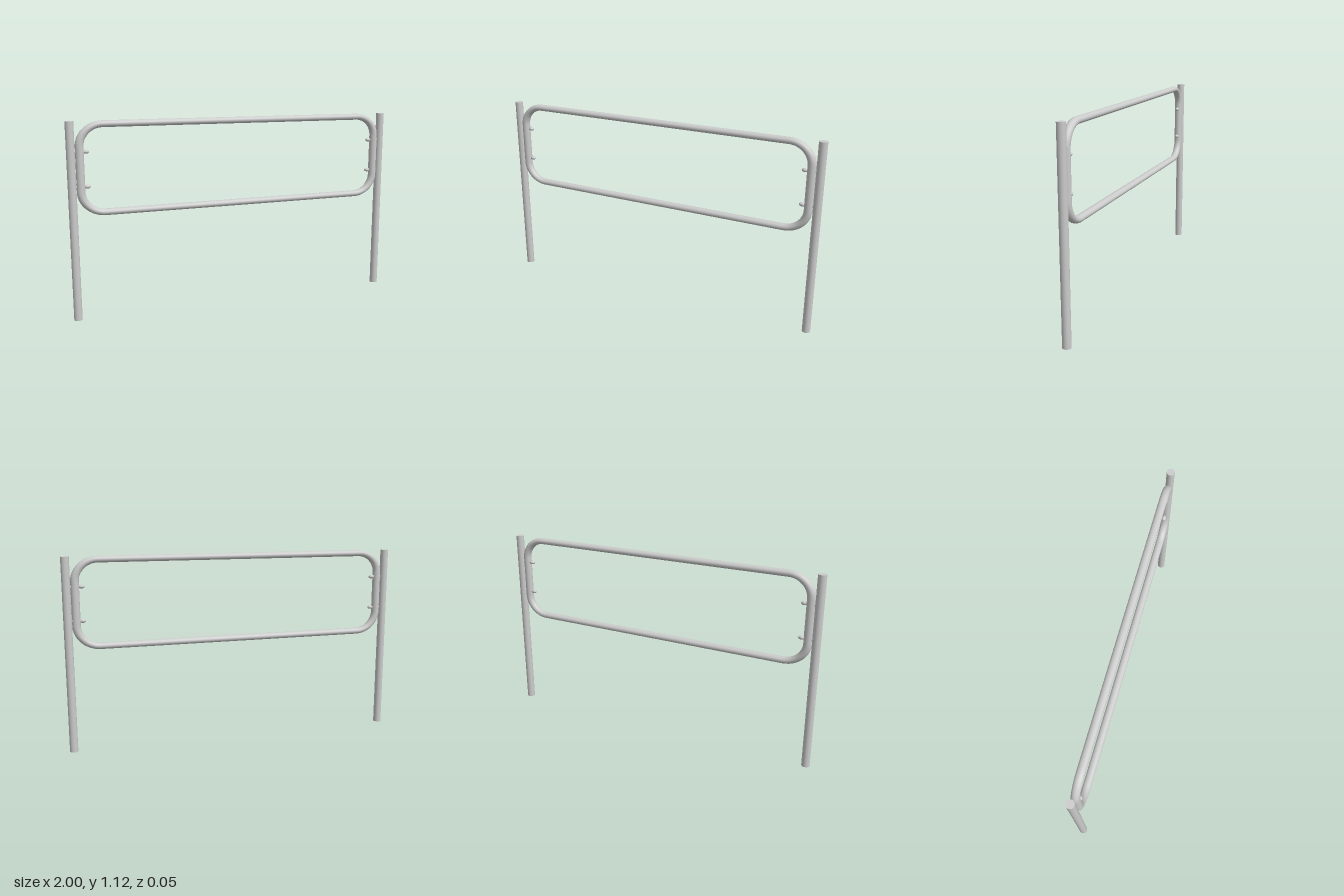
import * as THREE from 'three';

const material = new THREE.MeshStandardMaterial({ color: 0xcccccc });
const TOP = 1.12;
const SQUASH = 0.8; // the loop's tube is flattened in height

// Closed rounded rectangle as a 3D curve in the xy plane
class RoundedLoop extends THREE.Curve {
  constructor(hx, hy, rx, ry) {
    super();
    this.arcLengthDivisions = 800;
    const s = new THREE.Shape();
    const q = Math.PI / 2;
    const ix = hx - rx, iy = hy - ry;
    s.moveTo(-ix, -hy);
    [[1, -1], [1, 1], [-1, 1], [-1, -1]].forEach(([sx, sy], i) => {
      const a = (i - 1) * q;
      s.lineTo(sx * ix + rx * Math.round(Math.cos(a)), sy * iy + ry * Math.round(Math.sin(a)));
      s.absellipse(sx * ix, sy * iy, rx, ry, a, a + q, false, 0);
    });
    this.outline = s;
  }
  getPoint(t, target = new THREE.Vector3()) {
    const p = this.outline.getPoint(t);
    return target.set(p.x, p.y, 0);
  }
}

function add(parent, name, geometry, x, y, z) {
  const mesh = new THREE.Mesh(geometry, material);
  mesh.name = name;
  mesh.position.set(x, y, z);
  parent.add(mesh);
  return mesh;
}

export function createModel() {
  const model = new THREE.Group();
  model.name = 'barrierRail';

  // Bent tube loop between the posts
  const loop = new RoundedLoop(0.929, 0.306, 0.13, 0.15);
  const rail = add(model, 'railLoop', new THREE.TubeGeometry(loop, 280, 0.0235, 20, true), 0, 0.857, 0.002);
  rail.scale.y = SQUASH;

  const postGeometry = new THREE.CylinderGeometry(0.0235, 0.0235, TOP, 24);
  const boltGeometry = new THREE.CylinderGeometry(0.009, 0.009, 0.09, 12).rotateZ(Math.PI / 2);
  const headGeometry = new THREE.SphereGeometry(1, 16, 10).scale(0.018, 0.011, 0.013);

  for (const [side, sx] of [['left', 1], ['right', -1]]) {
    // Upright post
    add(model, side + 'Post', postGeometry, sx * 0.9765, TOP / 2, -0.001);

    // Bolts through the loop into the post, with rounded heads inside
    for (const [level, y] of [['Upper', 0.953], ['Lower', 0.76]]) {
      add(model, side + level + 'Bolt', boltGeometry, sx * 0.935, y, 0);
      add(model, side + level + 'BoltHead', headGeometry, sx * 0.893, y, 0);
    }
  }
  return model;
}
